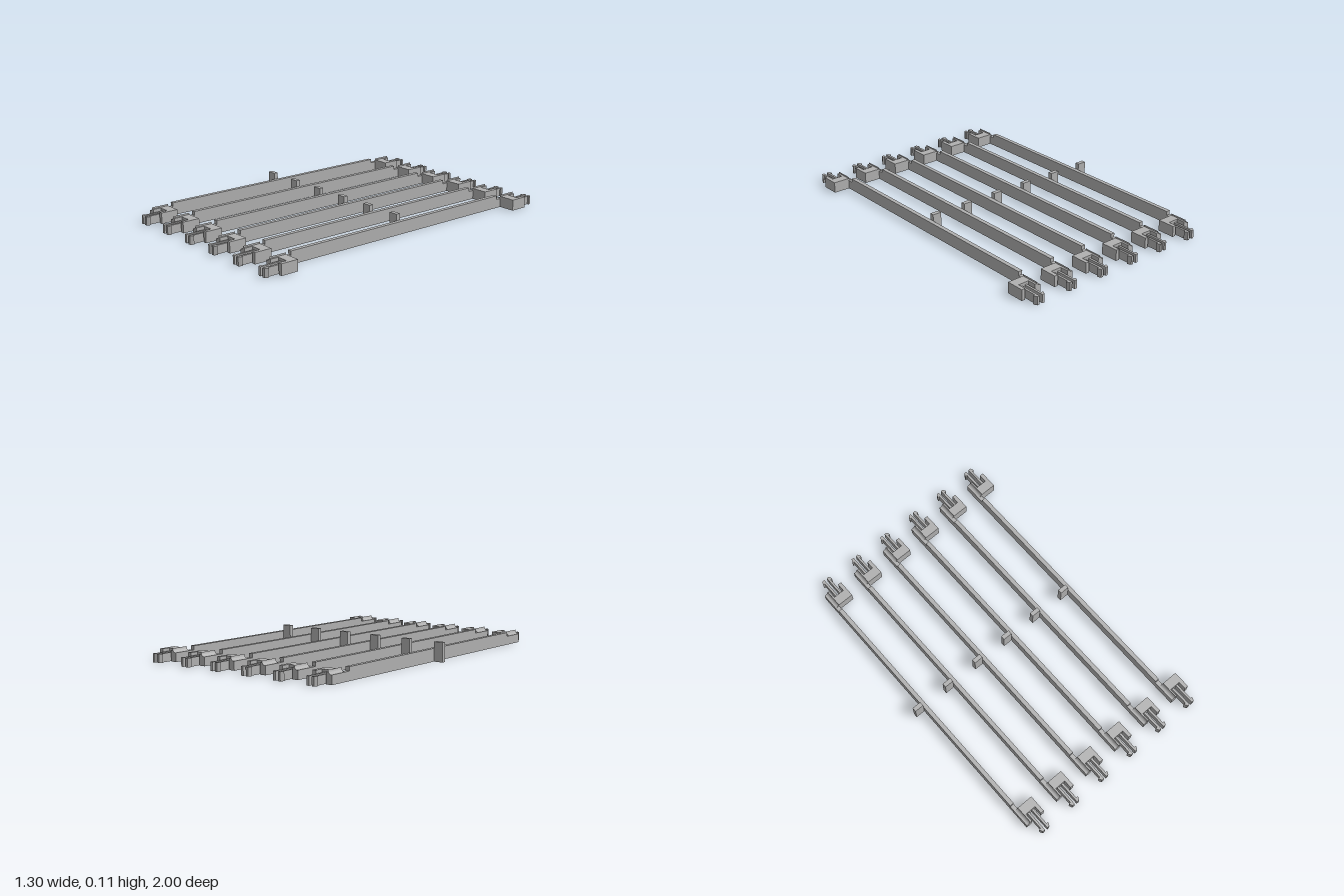
import * as THREE from 'three';

const COUNT = 6, PITCH = 0.224, START = -0.651;
const grey = new THREE.MeshStandardMaterial({ color: 0xb0b0b0 });
grey.name = 'plain grey';

function add(parent, name, geometry) {
  const mesh = new THREE.Mesh(geometry, grey);
  mesh.name = name;
  parent.add(mesh);
  return mesh;
}

// box given by its lowest and highest corners
function box(x0, x1, y0, y1, z0, z1) {
  return new THREE.BoxGeometry(x1 - x0, y1 - y0, z1 - z0)
    .translate((x0 + x1) / 2, (y0 + y1) / 2, (z0 + z1) / 2);
}

// plan outline of [x, z] points, raised from y = 0
function plan(points, height) {
  const shape = new THREE.Shape(points.map(([x, z]) => new THREE.Vector2(x, -z)));
  return new THREE.ExtrudeGeometry(shape, { depth: height, bevelEnabled: false })
    .rotateX(-Math.PI / 2);
}

// connector at one end of a bar; side is +1 for the front, -1 for the back
function createConnector(side) {
  const group = new THREE.Group();
  group.name = side > 0 ? 'frontConnector' : 'backConnector';
  const z = (a) => a * side;

  // low neck between the bar and the connector
  add(group, 'neck', box(0.056, 0.081, 0, 0.052, ...[z(0.775), z(0.81)].sort((a, b) => a - b)));

  // rail with a concave groove along its upper edge
  const rail = new THREE.Shape();
  rail.moveTo(0.056, 0);
  rail.lineTo(0.081, 0);
  rail.lineTo(0.081, 0.075);
  rail.quadraticCurveTo(0.077, 0.053, 0.062, 0.052);
  rail.lineTo(0.056, 0.052);
  rail.closePath();
  const railGeometry = new THREE.ExtrudeGeometry(rail, { depth: 0.107, bevelEnabled: false, curveSegments: 6 });
  add(group, 'groovedRail', railGeometry.translate(0, 0, side > 0 ? 0.81 : -0.917));

  // forked block with an open notch
  add(group, 'block', plan([
    [0.081, z(0.81)], [0.182, z(0.81)], [0.182, z(0.917)], [0.16, z(0.917)],
    [0.16, z(0.867)], [0.093, z(0.867)], [0.093, z(0.917)], [0.081, z(0.917)],
  ], 0.065));

  // pair of barbed snap arms, mirrored about the notch centre
  for (const m of [-1, 1]) {
    const x = (a) => 0.1265 + a * m;
    add(group, m < 0 ? 'rightSnapArm' : 'leftSnapArm', plan([
      [x(0.009), z(0.867)], [x(0.022), z(0.867)], [x(0.022), z(0.978)],
      [x(0.032), z(0.978)], [x(0.032), z(0.984)], [x(0.024), z(1)], [x(0.009), z(1)],
    ], 0.05));
  }
  return group;
}

export function createModel() {
  const model = new THREE.Group();
  model.name = 'snapBarSet';
  for (let i = 0; i < COUNT; i++) {
    const unit = new THREE.Group();
    unit.name = `snapBar${i + 1}`;
    unit.position.x = START + i * PITCH;
    add(unit, 'bar', box(0.056, 0.081, 0, 0.075, -0.775, 0.775));
    add(unit, 'centreTab', box(0, 0.056, 0, 0.113, -0.013, 0.013));
    unit.add(createConnector(1), createConnector(-1));
    model.add(unit);
  }
  return model;
}
